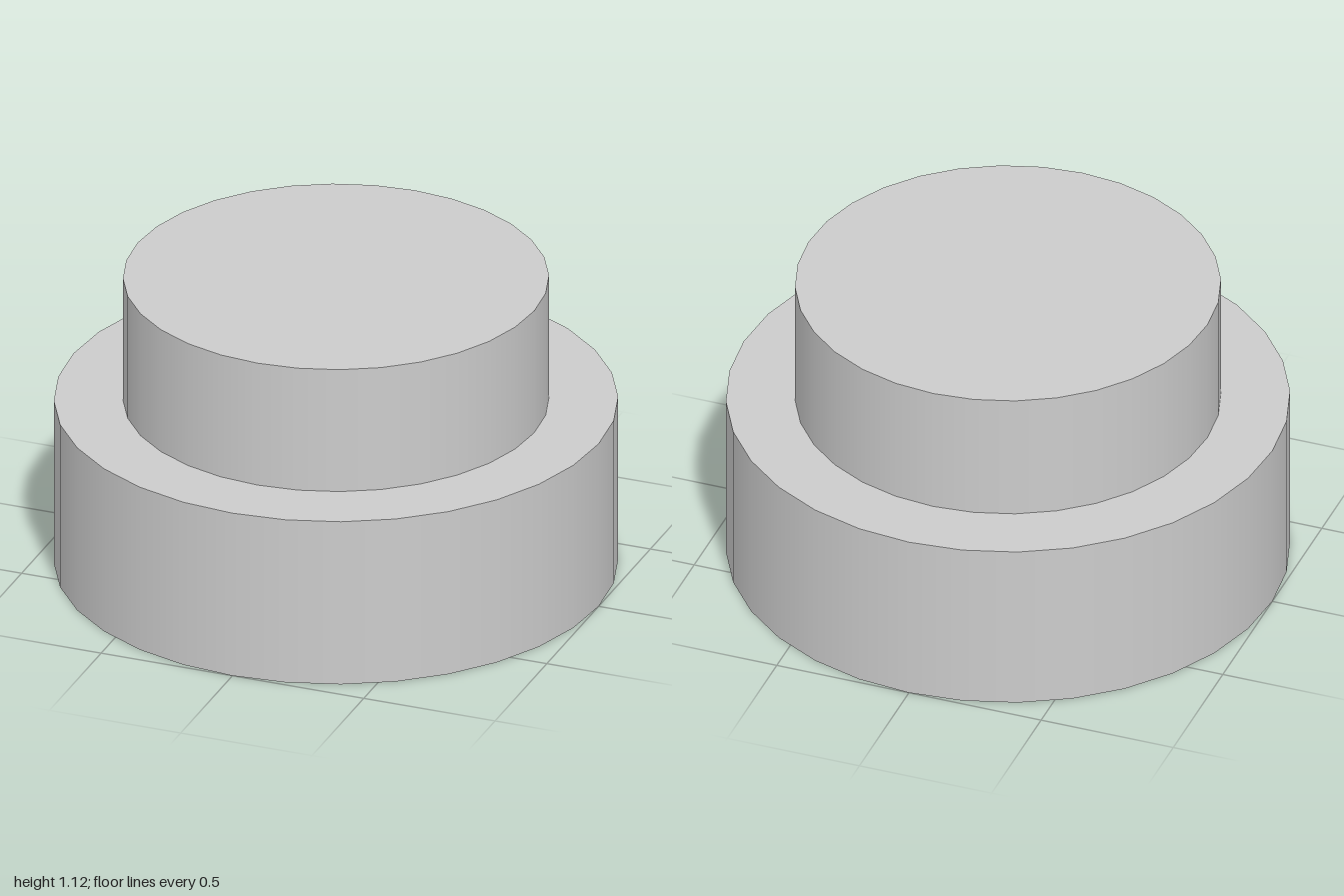
import * as THREE from 'three';

const SIDES = 32;

// Upright disc with smooth sides, standing on height y
function disc(name, radius, height, y, material) {
  const mesh = new THREE.Mesh(new THREE.CylinderGeometry(radius, radius, height, SIDES), material);
  mesh.name = name;
  mesh.position.y = y + height / 2;
  return mesh;
}

export function createModel() {
  const group = new THREE.Group();
  group.name = 'steppedCylinder';
  const grey = new THREE.MeshStandardMaterial({ color: 0xcccccc });

  // Wide base with a narrower drum on top
  const baseHeight = 0.64;
  group.add(disc('base', 1, baseHeight, 0, grey));
  group.add(disc('upperDrum', 0.755, 0.48, baseHeight, grey));
  return group;
}
